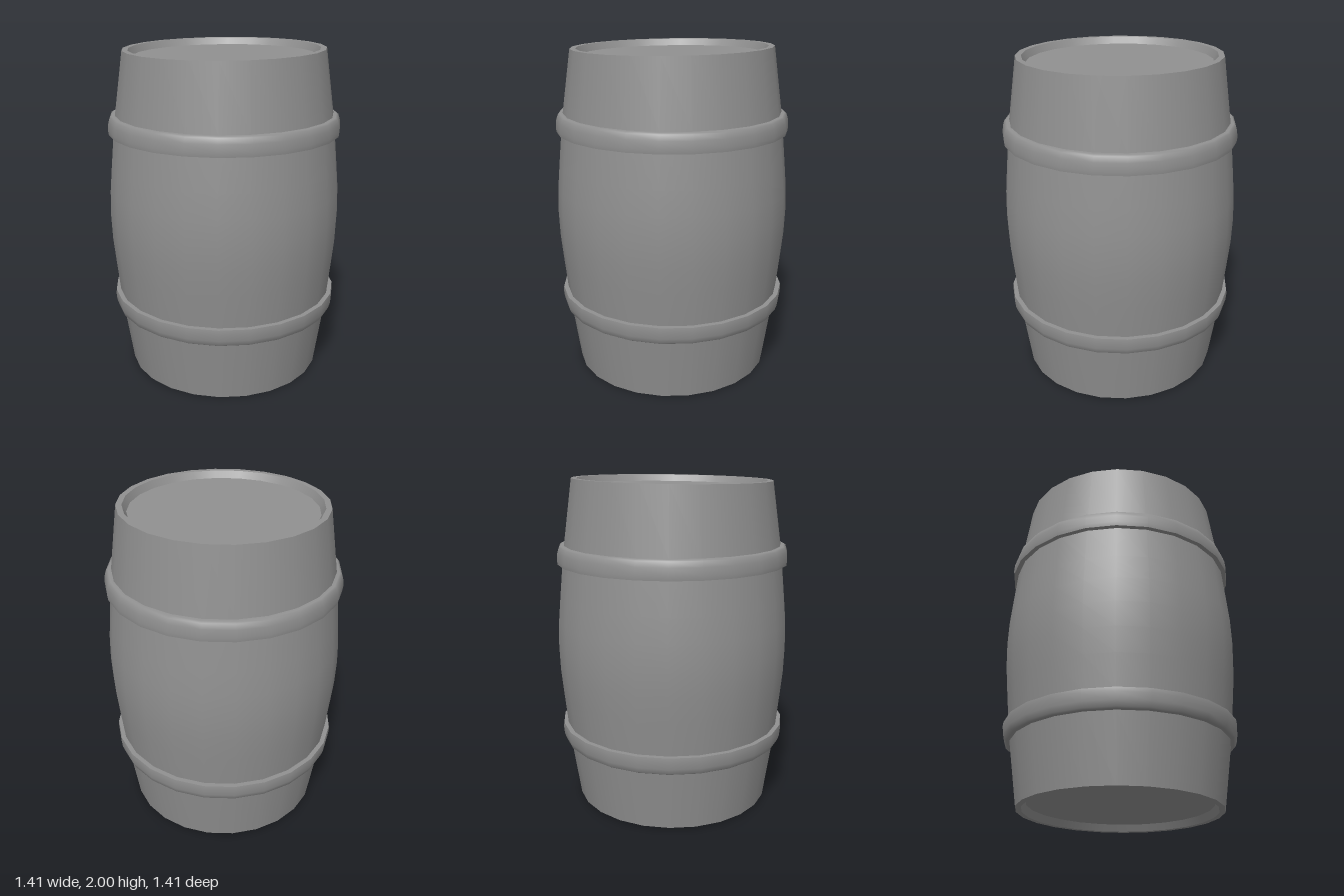
import * as THREE from 'three';
import { mergeGeometries } from 'three/addons/utils/BufferGeometryUtils.js';

const SIDES = 24;

// Each profile is a smooth run of [radius, height]; separate runs meet at sharp edges.
function turned(...profiles) {
  return mergeGeometries(profiles.map((p) => new THREE.LatheGeometry(
    p.map(([r, y]) => new THREE.Vector2(r, y)), SIDES, Math.PI / SIDES)));
}

// Mirrors a profile about mid height, keeping it facing outward.
const flip = (profile) => profile.map(([r, y]) => [r, 2 - y]).reverse();

// The hand-cut ends are very slightly out of level.
function tiltEnds(geometry) {
  const pos = geometry.attributes.position;
  for (let i = 0; i < pos.count; i++) {
    const x = pos.getX(i), y = pos.getY(i), z = pos.getZ(i);
    if (y > 1.9) pos.setY(i, y + 0.014 * x);
    if (y < 0.1) pos.setY(i, y + 0.003 * x - 0.008 * z);
  }
  return geometry;
}

export function createModel() {
  const model = new THREE.Group();
  model.name = 'barrel';
  const grey = new THREE.MeshStandardMaterial({ color: 0x909090 });
  grey.name = 'grey';

  const add = (name, geometry) => {
    const mesh = new THREE.Mesh(geometry, grey);
    mesh.name = name;
    model.add(mesh);
  };

  // Bulging staves
  const upper = [[0.69, 1.3], [0.67, 1.5], [0.657, 1.61], [0.602, 1.991]];
  add('staves', tiltEnds(turned([...flip(upper), [0.704, 0.85], [0.709, 1], [0.704, 1.15], ...upper])));

  // Rim lip, sloped inner wall and recessed lid at each end
  const lip = [[0.602, 1.991], [0.568, 1.991]];
  const wall = [[0.568, 1.991], [0.545, 1.95]];
  const lid = [[0.545, 1.95], [0, 1.95]];
  add('topLid', tiltEnds(turned(lip, wall, lid)));
  add('bottomLid', tiltEnds(turned(flip(lip), flip(wall), flip(lid))));

  // Hoops: rounded outer face, flat edge toward the middle of the barrel
  const hoopEdge = [[0.66, 1.5], [0.698, 1.5]];
  const hoopFace = [[0.698, 1.5], [0.701, 1.525], [0.697, 1.57], [0.687, 1.602], [0.675, 1.61], [0.65, 1.611]];
  add('upperHoop', turned(hoopEdge, hoopFace));
  add('lowerHoop', turned(flip(hoopEdge), flip(hoopFace)));

  return model;
}
